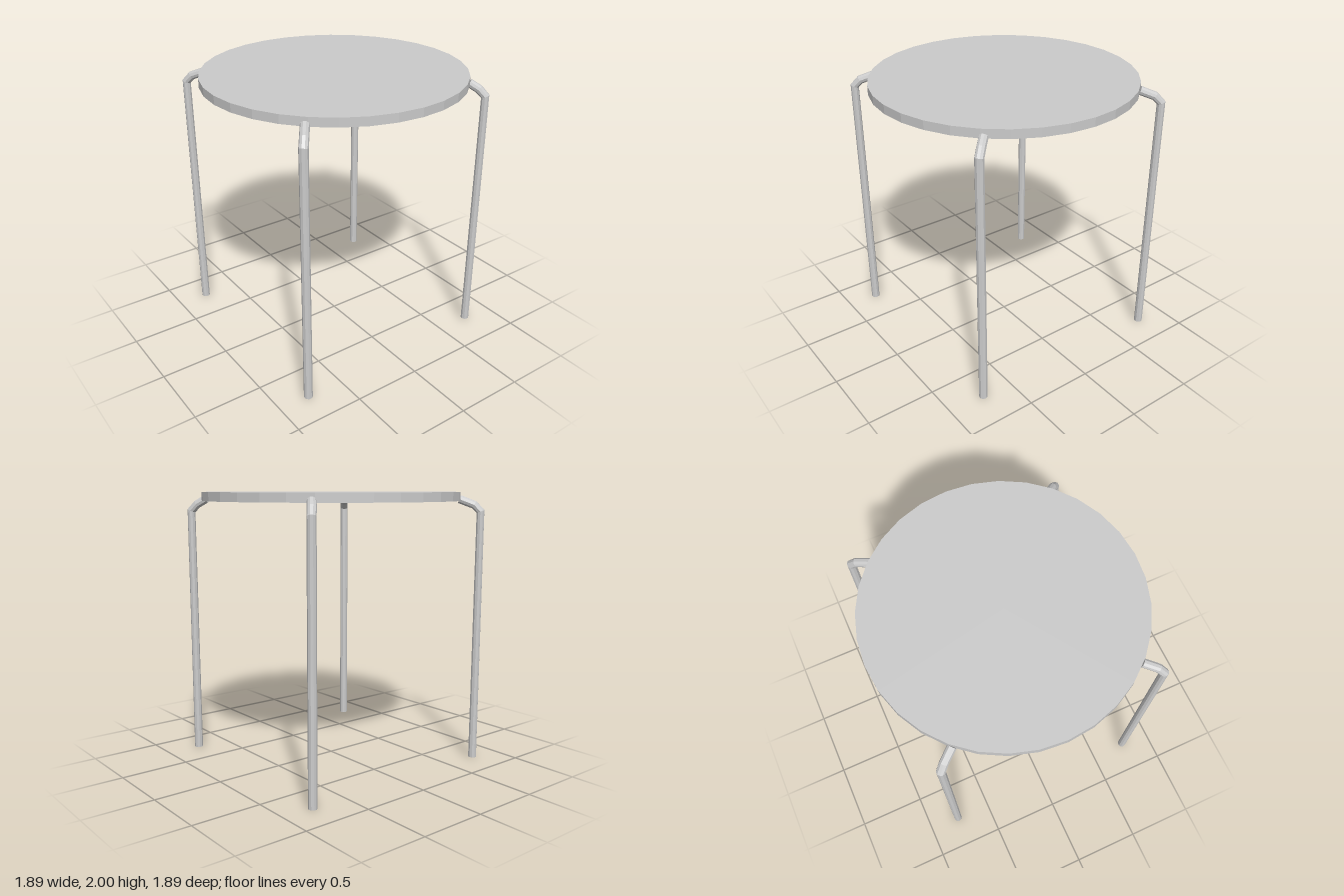
import * as THREE from 'three';

const material = new THREE.MeshStandardMaterial({ color: 0xcccccc, flatShading: true });
const SIDES = 10;
const RADIUS = 0.031;

// Mitred round tube along a path, with closed ends
function tube(path) {
  const lean = path[path.length - 1].clone().sub(path[0]).setY(0).normalize();
  const side = new THREE.Vector3(0, 1, 0).cross(lean);
  const positions = [];
  const index = [];
  path.forEach((p, i) => {
    const before = i > 0 ? p.clone().sub(path[i - 1]).normalize() : new THREE.Vector3();
    const after = i < path.length - 1 ? path[i + 1].clone().sub(p).normalize() : new THREE.Vector3();
    const tangent = before.add(after).normalize();
    const out = tangent.cross(side);
    for (let j = 0; j < SIDES; j++) {
      const a = (j / SIDES) * Math.PI * 2;
      const v = p.clone().addScaledVector(side, Math.cos(a) * RADIUS).addScaledVector(out, Math.sin(a) * RADIUS);
      positions.push(v.x, v.y, v.z);
    }
  });
  const last = (path.length - 1) * SIDES;
  const bottom = path.length * SIDES;
  for (const p of [path[0], path[path.length - 1]]) positions.push(p.x, p.y, p.z);
  for (let j = 0; j < SIDES; j++) {
    const k = (j + 1) % SIDES;
    for (let r = 0; r < last; r += SIDES) {
      index.push(r + j, r + k, r + SIDES + k, r + j, r + SIDES + k, r + SIDES + j);
    }
    index.push(bottom, k, j, bottom + 1, last + j, last + k);
  }
  const geometry = new THREE.BufferGeometry();
  geometry.setAttribute('position', new THREE.Float32BufferAttribute(positions, 3));
  geometry.setIndex(index);
  // side x out = -tangent for this frame, so reverse the winding if needed
  const flip = side.clone().cross(new THREE.Vector3(0, 1, 0).cross(side)).y < 0;
  if (flip) geometry.setIndex(index.map((_, n) => index[n - (n % 3) + 2 - (n % 3)]));
  geometry.computeVertexNormals();
  return geometry;
}

export function createModel() {
  const group = new THREE.Group();

  // Round seat
  const seat = new THREE.Mesh(new THREE.CylinderGeometry(0.943, 0.943, 0.063, 32), material);
  seat.name = 'seat';
  seat.position.y = 1.9685;
  group.add(seat);

  // Four legs bent in at the top to meet the rim; one stands slightly further in
  const legs = [
    ['frontLeftLeg', 0.772, 0.772, 0],
    ['frontRightLeg', -0.768, 0.772, 0],
    ['backLeftLeg', 0.735, -0.755, 0.01],
    ['backRightLeg', -0.768, -0.772, 0],
  ];
  for (const [name, x, z, foot] of legs) {
    const sx = Math.sign(x);
    const sz = Math.sign(z);
    const leg = new THREE.Mesh(tube([
      new THREE.Vector3(x, foot, z),
      new THREE.Vector3(x, 1.86, z),
      new THREE.Vector3(x - sx * 0.036, 1.908, z - sz * 0.03),
      new THREE.Vector3(sx * 0.648, 1.948, sz * 0.678),
    ]), material);
    leg.name = name;
    group.add(leg);
  }
  return group;
}
